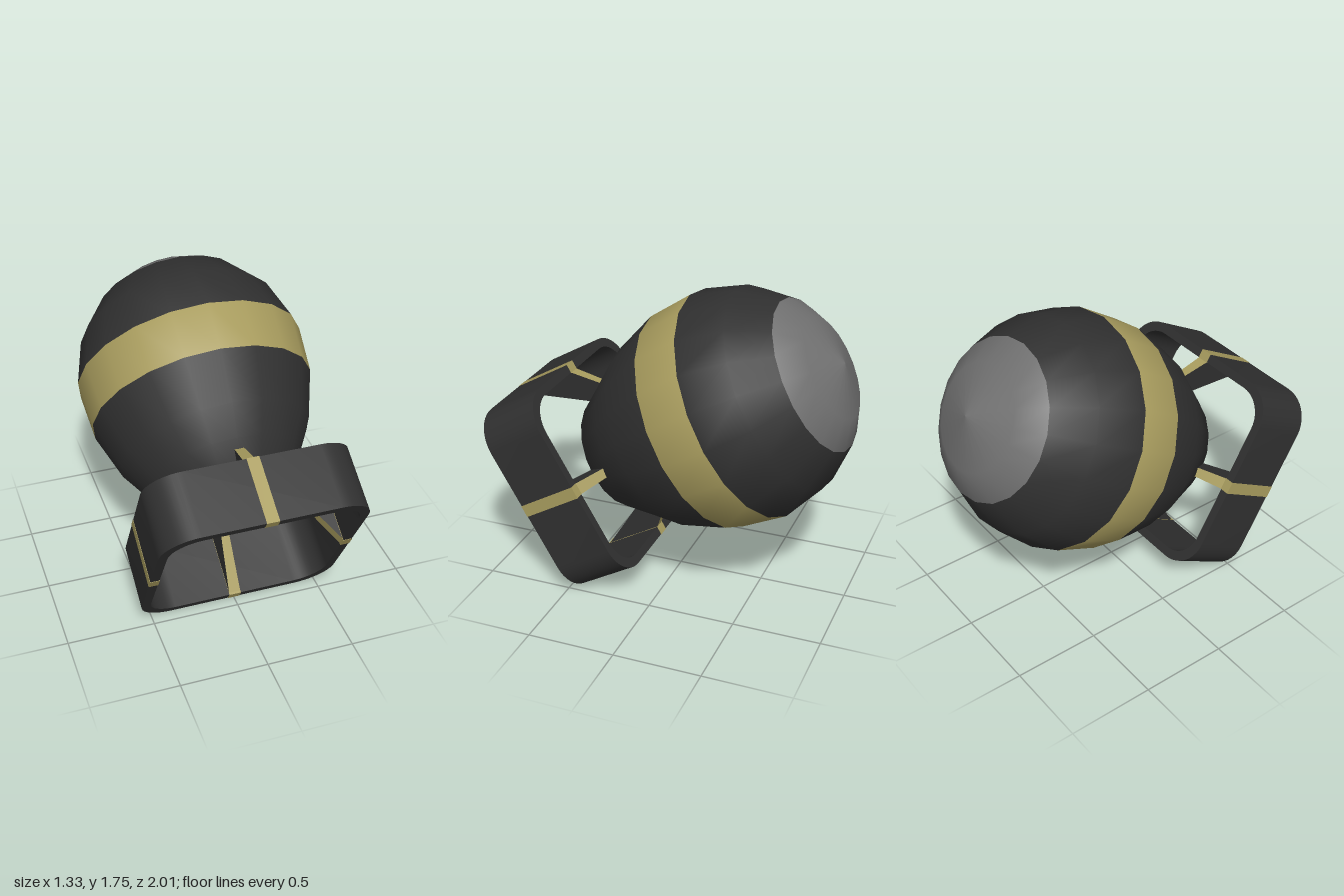
import * as THREE from 'three';
import { toCreasedNormals } from 'three/addons/utils/BufferGeometryUtils.js';

const mat = (color) => new THREE.MeshStandardMaterial({ color });

// Square outline with rounded corners
function roundedSquare(Type, half, r) {
  const s = new Type();
  const c = half - r;
  [[c, c], [-c, c], [-c, -c], [c, -c]].forEach(([x, y], i) => {
    s.absarc(x, y, r, i * Math.PI / 2, (i + 1) * Math.PI / 2, false);
  });
  s.closePath();
  return s;
}

export function createModel() {
  const dark = mat(0x303030), gold = mat(0xa89c5e), grey = mat(0x707070);
  const model = new THREE.Group();

  // Local +y runs from tail to nose
  const bomb = new THREE.Group();
  bomb.name = 'bomb';
  bomb.rotation.x = -Math.PI / 3;
  bomb.position.set(0, 0.5, 0.717);
  model.add(bomb);

  const add = (name, geo, material, parent = bomb) => {
    const mesh = new THREE.Mesh(geo, material);
    mesh.name = name;
    parent.add(mesh);
    return mesh;
  };

  // Body: one smooth lathe, split by profile rows so normals run across colours
  const profile = [
    [0, 0.29], [0.2, 0.31], [0.335, 0.36], [0.45, 0.55], [0.55, 0.71], [0.645, 0.985],
    [0.665, 1.258], [0.588, 1.511], [0.438, 1.71], [0.29, 1.81], [0, 1.885],
  ].map(([r, y]) => new THREE.Vector2(r, y));
  const lathe = new THREE.LatheGeometry(profile, 20);
  const rows = profile.length - 1;
  const indices = Array.from(lathe.index.array);
  const section = (name, from, to, material) => {
    const geo = lathe.clone();
    geo.setIndex(indices.filter((_, k) => {
      const row = Math.floor(k / 6) % rows;
      return row >= from && row < to;
    }));
    add(name, geo, material).position.z = -0.016;
  };
  section('rearBody', 0, 5, dark);
  section('bodyBand', 5, 6, gold);
  section('frontBody', 6, 8, dark);
  section('noseCap', 8, 10, grey);

  // Box-shaped tail frame
  const length = 0.364, half = 0.576;
  const outline = roundedSquare(THREE.Shape, half, 0.2);
  outline.holes.push(roundedSquare(THREE.Path, half - 0.05, 0.17));
  const frame = new THREE.ExtrudeGeometry(outline, { depth: length, bevelEnabled: false, curveSegments: 5 });
  frame.rotateX(-Math.PI / 2);
  add('tailFrame', toCreasedNormals(frame, 0.6), dark);

  // Fin: dark sides, gold edges, thinner towards the body
  const finShape = new THREE.Shape([
    [0.53, 0], [0.53, 0.36], [0.36, 0.545], [0.3, 0.425],
  ].map(([x, y]) => new THREE.Vector2(x, y)));
  const fin = new THREE.ExtrudeGeometry(finShape, { depth: 1, bevelEnabled: false });
  const p = fin.attributes.position;
  for (let i = 0; i < p.count; i++) {
    const width = THREE.MathUtils.mapLinear(p.getX(i), 0.3, 0.53, 0.042, 0.068);
    p.setZ(i, (p.getZ(i) - 0.5) * width);
  }
  fin.computeVertexNormals();

  // Gold strip wrapped round the middle of each frame side
  const strip = new THREE.BoxGeometry(0.054, length + 0.004, 0.07);
  strip.translate(half - 0.025, length / 2, 0);

  for (let i = 0; i < 4; i++) {
    const side = new THREE.Group();
    side.name = 'finAssembly';
    side.rotation.y = i * Math.PI / 2;
    add('fin', fin, [dark, gold], side);
    add('frameStrip', strip, gold, side);
    bomb.add(side);
  }
  return model;
}
